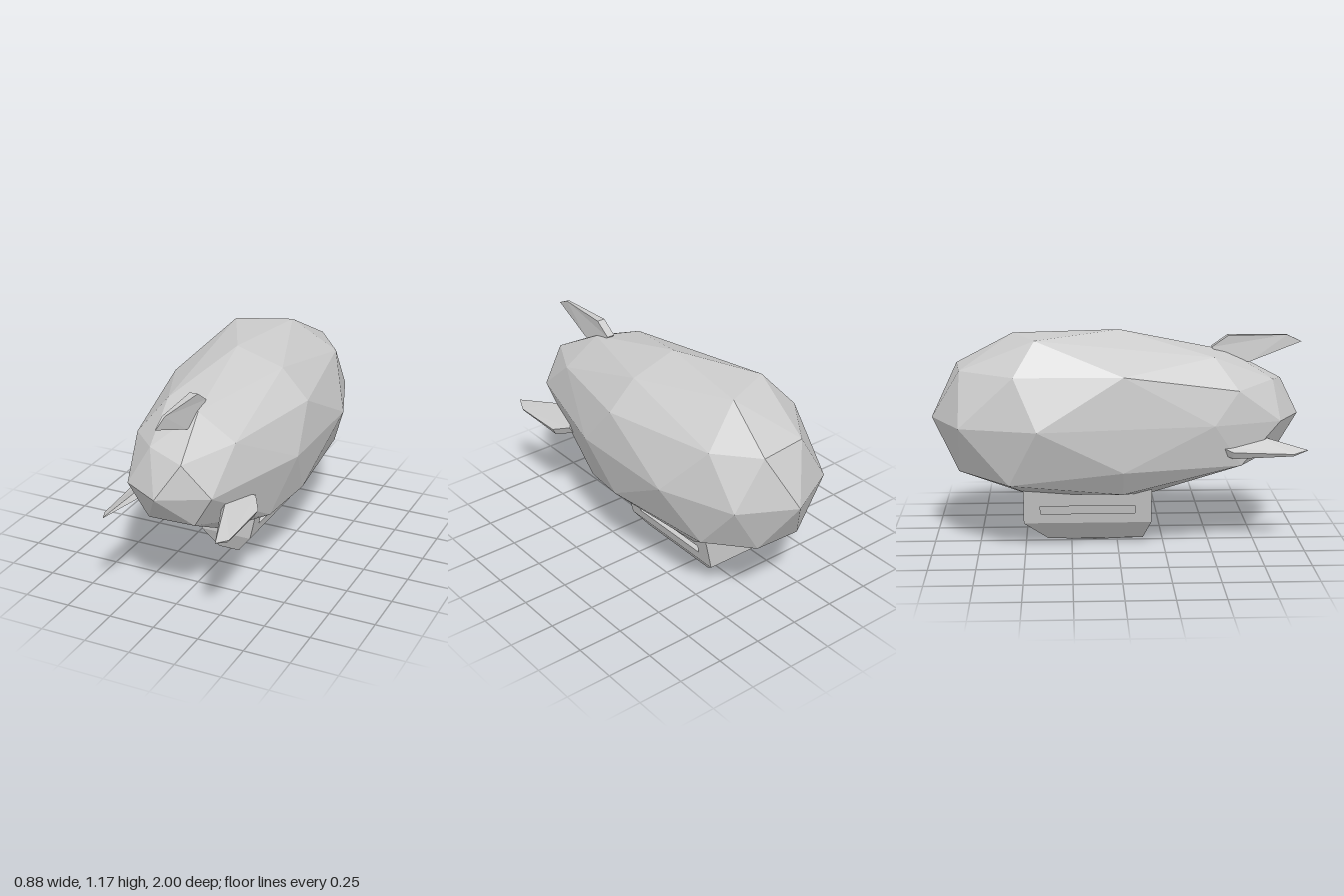
import * as THREE from 'three';

const material = new THREE.MeshStandardMaterial({ color: 0xcccccc, flatShading: true });

function addMesh(parent, geometry, name) {
  const mesh = new THREE.Mesh(geometry, material);
  mesh.name = name;
  parent.add(mesh);
  return mesh;
}

function fromTriangles(triangles) {
  const g = new THREE.BufferGeometry();
  g.setAttribute('position', new THREE.Float32BufferAttribute(triangles.flat(2), 3));
  g.computeVertexNormals();
  return g;
}

// Horizontal loops of the faceted envelope, each running from the nose (-z) round by +x
const equator = [
  [0, 0.705, -1], [0.29, 0.705, -0.84], [0.44, 0.705, -0.43], [0.44, 0.705, 0.21], [0.26, 0.71, 0.85],
  [0.01, 0.71, 0.98], [-0.2, 0.71, 0.86], [-0.32, 0.71, 0.5], [-0.445, 0.71, -0.43], [-0.31, 0.705, -0.84],
];
const upper = {
  band: [
    [0.13, 0.98, -0.87], [0.3, 0.97, -0.65], [0.41, 0.94, 0.02], [0.275, 0.915, 0.61], [0.12, 0.885, 0.9],
    [-0.085, 0.915, 0.83], [-0.265, 0.885, 0.63], [-0.365, 0.98, 0.02], [-0.355, 0.98, -0.55], [-0.14, 0.98, -0.84],
  ],
  ring: [[0.07, 1.15, -0.56], [0.26, 1.095, 0.01], [0.07, 1.045, 0.61], [-0.15, 1.045, 0.51], [-0.22, 1.15, -0.44]],
  pole: [0, 1.175, 0.01],
};
const lower = {
  band: [
    [0.13, 0.435, -0.84], [0.32, 0.435, -0.62], [0.39, 0.435, 0.02], [0.33, 0.39, 0.31], [0.16, 0.54, 0.84],
    [-0.09, 0.54, 0.85], [-0.245, 0.48, 0.65], [-0.375, 0.475, 0.02], [-0.325, 0.4, -0.58], [-0.13, 0.435, -0.85],
  ],
  ring: [[0.21, 0.29, -0.43], [0.16, 0.375, 0.53], [0, 0.27, 0.19], [-0.28, 0.335, 0.02], [-0.07, 0.285, -0.48]],
  pole: [0.05, 0.265, 0],
};

// One half of the envelope: strip above the equator, five-cornered ring, pole
function halfEnvelope({ band, ring, pole }, offset, flip) {
  const out = [];
  const add = (a, b, c) => out.push(flip ? [a, c, b] : [a, b, c]);
  const B = (k) => band[(k + 10) % 10];
  for (let k = 0; k < 10; k++) {
    const next = equator[(k + 1) % 10];
    add(next, equator[k], B(k));
    add(next, B(k), B(k + 1));
  }
  for (let j = 0; j < 5; j++) {
    const c = 2 * j + offset, r = ring[j], r2 = ring[(j + 1) % 5];
    add(B(c), B(c - 1), r);
    add(B(c + 1), B(c), r);
    add(r, r2, B(c + 1));
    add(r, pole, r2);
  }
  return out;
}

// Extrudes a (z, y) outline sideways, facing +x (side 1) or -x (side -1)
function sideways(outline, depth, side = 1, hole = null) {
  const toPoints = (pts) => pts.map(([z, y]) => new THREE.Vector2(-side * z, y));
  const shape = new THREE.Shape(toPoints(outline));
  if (hole) shape.holes.push(new THREE.Path(toPoints(hole)));
  const g = new THREE.ExtrudeGeometry(shape, { depth, bevelEnabled: false });
  return g.rotateY(side * Math.PI / 2);
}

function moveVertices(g, rule) {
  const p = g.attributes.position, v = new THREE.Vector3();
  for (let i = 0; i < p.count; i++) {
    rule(v.fromBufferAttribute(p, i));
    p.setXYZ(i, v.x, v.y, v.z);
  }
  g.computeVertexNormals();
  return g;
}

// Rectangular loops [y, half width, back z, front z] skinned from top to bottom
function loft(loops, apex) {
  const cx = 0.01, out = [];
  const rects = loops.map(([y, w, z0, z1]) =>
    [[cx - w, y, z1], [cx + w, y, z1], [cx + w, y, z0], [cx - w, y, z0]]);
  const [t0, t1, t2, t3] = rects[0];
  out.push([t0, t1, t2], [t0, t2, t3]);
  for (let i = 0; i < 4; i++) {
    const n = (i + 1) % 4;
    for (let r = 0; r < rects.length - 1; r++) {
      const a = rects[r], b = rects[r + 1];
      out.push([b[i], b[n], a[n]], [b[i], a[n], a[i]]);
    }
    const last = rects[rects.length - 1];
    out.push([last[n], last[i], apex ?? [cx, loops[loops.length - 1][0], -0.16]]);
  }
  return fromTriangles(out);
}

export function createModel() {
  const model = new THREE.Group();
  model.name = 'airship';

  // Envelope
  addMesh(model, fromTriangles([
    ...halfEnvelope(upper, 0, false), ...halfEnvelope(lower, 1, true),
  ]), 'envelope');

  // Gondola: recessed core, slotted side walls and tapered belly
  const gondola = new THREE.Group();
  gondola.name = 'gondola';
  model.add(gondola);
  const inset = 0.04, top = 0.35;
  const halfWidth = (y) => 0.145 + (y - 0.14) * 0.22;
  addMesh(gondola, loft([
    [top, halfWidth(top) - inset, -0.51, 0.18], [0.14, halfWidth(0.14) - inset, -0.51, 0.18],
  ]), 'cabin');
  addMesh(gondola, loft([
    [0.14, 0.145, -0.51, 0.18], [0.03, 0.06, -0.38, 0.14],
  ], [0.01, 0.003, -0.12]), 'belly');
  for (const side of [1, -1]) {
    const wall = sideways(
      [[0.18, 0.14], [-0.51, 0.14], [-0.51, top], [0.18, top]], inset, side,
      [[0.09, 0.195], [-0.42, 0.195], [-0.42, 0.24], [0.09, 0.24]]);
    moveVertices(wall, (v) => { v.x += 0.01 + side * (halfWidth(v.y) - inset); });
    addMesh(gondola, wall, side > 0 ? 'leftWindowWall' : 'rightWindowWall');
  }

  // Three tail fins spaced evenly round the axis, thinning to the trailing tip
  const thickness = 0.045;
  ['topFin', 'leftFin', 'rightFin'].forEach((name, i) => {
    const g = sideways(
      [[0.51, 0.33], [0.6, 0.393], [0.92, 0.393], [1, 0.355], [0.72, 0.25], [0.58, 0.25]], thickness);
    moveVertices(g, (v) => {
      v.x = (v.x - thickness / 2) * THREE.MathUtils.clamp((1 - v.z) / 0.25, 0.06, 1);
    });
    const fin = addMesh(model, g, name);
    fin.position.set(0.042, 0.742, 0);
    fin.rotation.z = -i * Math.PI * 2 / 3;
  });

  return model;
}
